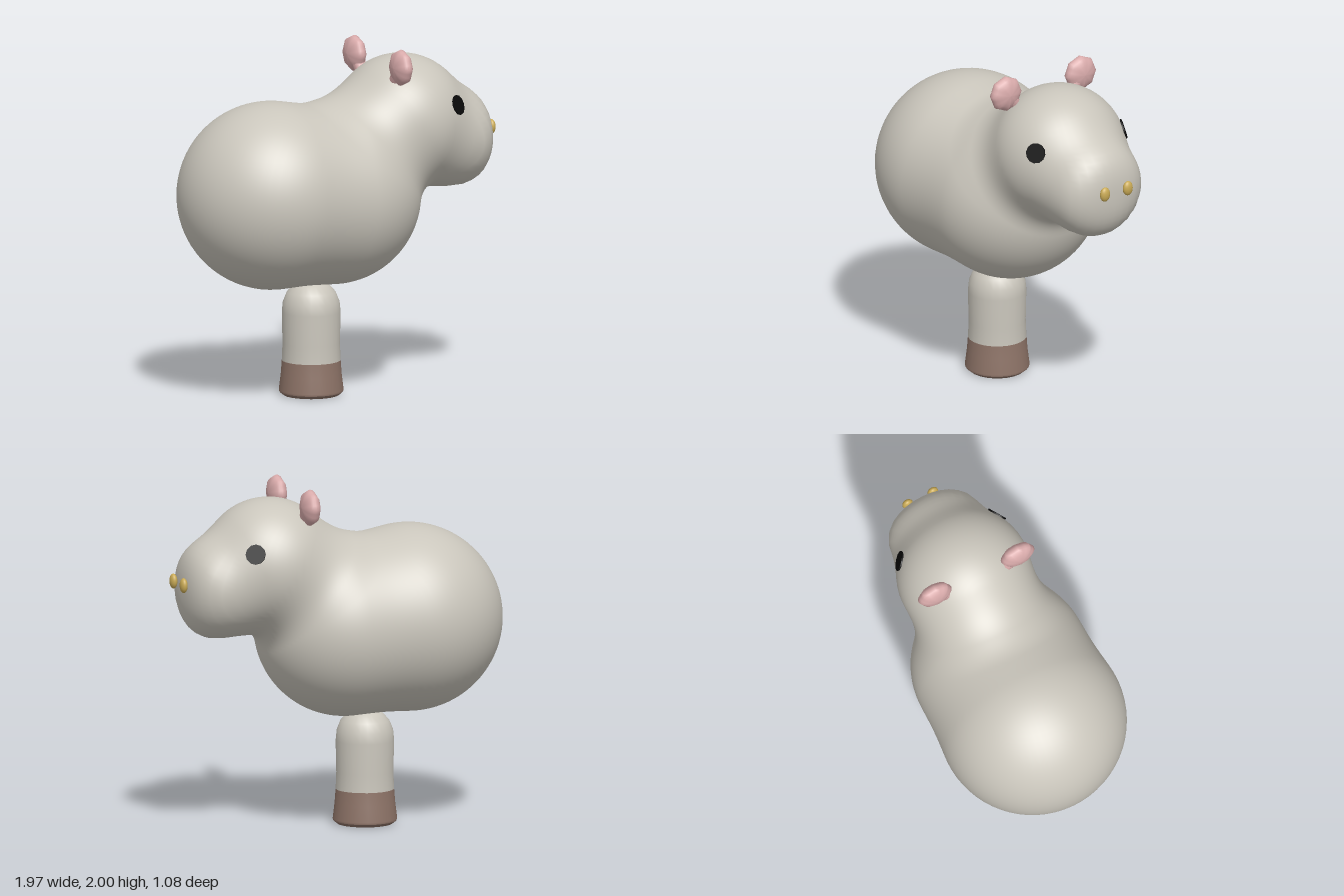
import * as THREE from 'three';

const paint = (name, color) => {
  const m = new THREE.MeshStandardMaterial({ color });
  m.name = name;
  return m;
};

// Blobs that melt into one body: centre x, centre y, radius
const BLOBS = [
  [-0.445, 1.18, 0.54],  // rump
  [-0.05, 1.15, 0.515],  // chest
  [0.12, 1.38, 0.345],   // neck
  [0.41, 1.535, 0.388],  // head
];

const smoothMin = (a, b, k) => {
  const h = Math.max(k - Math.abs(a - b), 0);
  return Math.min(a, b) - (h * h) / (4 * k);
};

// Signed distance to the body skin
function skin(p) {
  let d = Infinity;
  for (const [x, y, r] of BLOBS) {
    const s = Math.hypot(p.x - x, p.y - y, p.z) - r;
    d = d === Infinity ? s : smoothMin(d, s, 0.12);
  }
  // Blunt muzzle, flattened along x
  const u = Math.abs(p.x - 0.72) / 0.225;
  const v = Math.hypot(p.y - 1.42, p.z) / 0.29;
  const muzzle = (Math.pow(u ** 2.5 + v ** 2.5, 0.4) - 1) * 0.25;
  return smoothMin(d, muzzle, 0.1);
}

function skinNormal(p) {
  const e = 0.002;
  const slope = (axis) => {
    const a = p.clone(), b = p.clone();
    a[axis] += e;
    b[axis] -= e;
    return skin(a) - skin(b);
  };
  return new THREE.Vector3(slope('x'), slope('y'), slope('z')).normalize();
}

// Where a ray from inside leaves the skin
function hitSkin(from, dir) {
  let lo = 0, hi = 1.5;
  for (let i = 0; i < 26; i++) {
    const mid = (lo + hi) / 2;
    if (skin(from.clone().addScaledVector(dir, mid)) < 0) lo = mid;
    else hi = mid;
  }
  return from.clone().addScaledVector(dir, lo);
}

// Sphere pushed out to the skin
function bodyGeometry() {
  const geo = new THREE.SphereGeometry(1, 112, 80);
  const pos = geo.attributes.position, nor = geo.attributes.normal;
  const core = new THREE.Vector3(0, 1.3, 0), dir = new THREE.Vector3();
  for (let i = 0; i < pos.count; i++) {
    dir.fromBufferAttribute(pos, i).normalize();
    const p = hitSkin(core, dir), n = skinNormal(p);
    pos.setXYZ(i, p.x, p.y, p.z);
    nor.setXYZ(i, n.x, n.y, n.z);
  }
  return geo;
}

// Flattened ear with a gently scalloped rim
function earGeometry() {
  const geo = new THREE.SphereGeometry(1, 24, 12);
  geo.rotateZ(Math.PI / 2);
  const pos = geo.attributes.position;
  for (let i = 0; i < pos.count; i++) {
    const y = pos.getY(i), z = pos.getZ(i);
    const k = 0.1 * (1 + 0.05 * Math.cos(8 * Math.atan2(z, y)));
    pos.setXYZ(i, pos.getX(i) * 0.052, y * k, z * k);
  }
  geo.computeVertexNormals();
  return geo;
}

const lathe = (points, sides) =>
  new THREE.LatheGeometry(points.map(([r, y]) => new THREE.Vector2(r, y)), sides);

export function createModel() {
  const model = new THREE.Group();
  model.name = 'animal';
  const fur = paint('fur', 0xcac6bc);
  const pink = paint('ear pink', 0xd9abab);
  const hoofBrown = paint('hoof brown', 0x8e7468);
  const black = paint('eye black', 0x0a0a0a);
  const gold = paint('nostril gold', 0xc9aa55);

  const add = (name, geo, mat, parent = model) => {
    const mesh = new THREE.Mesh(geo, mat);
    mesh.name = name;
    parent.add(mesh);
    return mesh;
  };

  add('body', bodyGeometry(), fur);

  // Single central leg and its hoof
  const leg = lathe([[0.168, 0.2], [0.164, 0.3], [0.168, 0.48], [0.162, 0.54],
    [0.14, 0.595], [0.1, 0.64], [0.05, 0.66], [0, 0.665]], 24);
  add('leg', leg, fur).position.x = -0.18;
  const hoof = lathe([[0.168, 0.2], [0.174, 0.12], [0.185, 0.03], [0.182, 0.018]].reverse(), 24);
  add('hoof', hoof, hoofBrown).position.x = -0.18;
  const sole = lathe([[0, 0], [0.16, 0], [0.182, 0.018]], 24);
  add('hoofSole', sole, hoofBrown).position.x = -0.18;

  const up = new THREE.Vector3(0, 1, 0);
  for (const side of [1, -1]) {
    const label = side > 0 ? 'left' : 'right';

    // Ear on a short stem
    const ear = new THREE.Group();
    ear.name = label + 'Ear';
    model.add(ear);
    add(label + 'EarFlap', earGeometry(), pink, ear).position.set(0.258, 1.897, side * 0.265);
    const stem = add(label + 'EarStem', new THREE.CylinderGeometry(0.045, 0.035, 0.14, 12), pink, ear);
    stem.position.set(0.262, 1.85, side * 0.225);
    stem.rotation.x = side * 0.63;

    // Eye disc lying on the skin
    const spot = hitSkin(new THREE.Vector3(0.608, 1.655, 0), new THREE.Vector3(0, 0, side));
    const out = skinNormal(spot);
    const eye = add(label + 'Eye', new THREE.CylinderGeometry(0.058, 0.058, 0.009, 12), black);
    eye.position.copy(spot).addScaledVector(out, 0.002);
    eye.quaternion.setFromUnitVectors(up, out);

    // Nostril bead
    const nostril = add(label + 'Nostril', new THREE.SphereGeometry(1, 20, 14), gold);
    nostril.scale.set(0.022, 0.043, 0.032);
    nostril.position.set(0.96, 1.46, side * 0.081);
  }
  return model;
}
